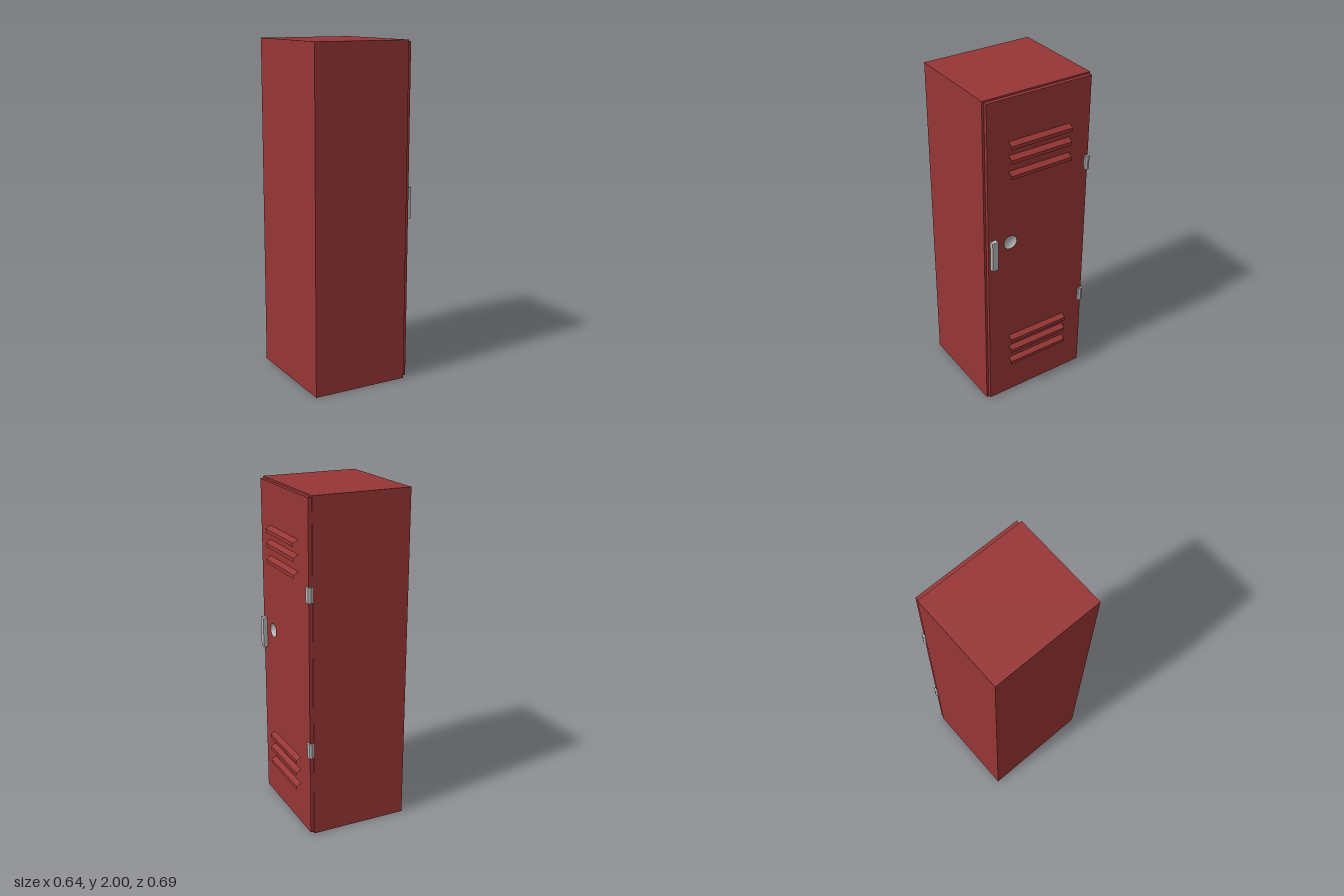
import * as THREE from 'three';

const red = new THREE.MeshStandardMaterial({ color: 0x973535, side: THREE.DoubleSide });
red.name = 'lockerRed';
const steel = new THREE.MeshStandardMaterial({ color: 0xb4b4b4, side: THREE.DoubleSide, flatShading: true });
steel.name = 'steelGrey';

export function createModel() {
  const group = new THREE.Group();
  const add = (name, geometry, material, x = 0, y = 0, z = 0) => {
    const mesh = new THREE.Mesh(geometry, material);
    mesh.name = name;
    mesh.position.set(x, y, z);
    group.add(mesh);
    return mesh;
  };

  // cabinet
  add('cabinet', new THREE.BoxGeometry(0.59, 2, 0.678), red, -0.025, 1, 0.004);

  // door on the +x side, with a round hole for the dial recess (shape x = -z)
  const dial = { y: 1.11, z: 0.185, r: 0.043 };
  const panel = new THREE.Shape();
  panel.moveTo(-0.33, 0.01).lineTo(0.33, 0.01).lineTo(0.33, 1.99).lineTo(-0.33, 1.99).closePath();
  const hole = new THREE.Path();
  hole.absarc(-dial.z, dial.y, dial.r, 0, Math.PI * 2, true);
  panel.holes.push(hole);
  const door = new THREE.ExtrudeGeometry(panel, { depth: 0.022, bevelEnabled: false, curveSegments: 6 });
  door.rotateY(Math.PI / 2);
  add('door', door, red, 0.27);

  // shallow dish set into the door
  const profile = [[0.001, -0.019], [0.018, -0.017], [0.033, -0.01], [dial.r, 0]]
    .map(([r, d]) => new THREE.Vector2(r, d));
  const dish = new THREE.LatheGeometry(profile, 12);
  dish.rotateZ(-Math.PI / 2);
  add('dialRecess', dish, steel, 0.292, dial.y, dial.z);

  // louvres: a sloping sheet with a hanging lip, open at the ends
  const sheet = (h) => {
    const g = new THREE.PlaneGeometry(0.394, h);
    g.rotateY(Math.PI / 2);
    return g;
  };
  const rise = 0.018, reach = 0.028, lip = 0.021;
  for (const y of [1.743, 1.66, 1.565, 0.443, 0.363, 0.272]) {
    const slope = add('louvreSlope', sheet(Math.hypot(rise, reach)), red, 0.292 + reach / 2, y - rise / 2);
    slope.rotation.z = Math.atan2(reach, rise);
    add('louvreLip', sheet(lip), red, 0.292 + reach, y - rise - lip / 2);
  }

  // handle
  add('handle', new THREE.BoxGeometry(0.028, 0.185, 0.037), steel, 0.304, 1.067, 0.299);

  // hinge barrels at the back edge of the door
  for (const y of [0.543, 1.467])
    add('hinge', new THREE.CylinderGeometry(0.021, 0.021, 0.087, 8), steel, 0.285, y, -0.323);

  return group;
}
